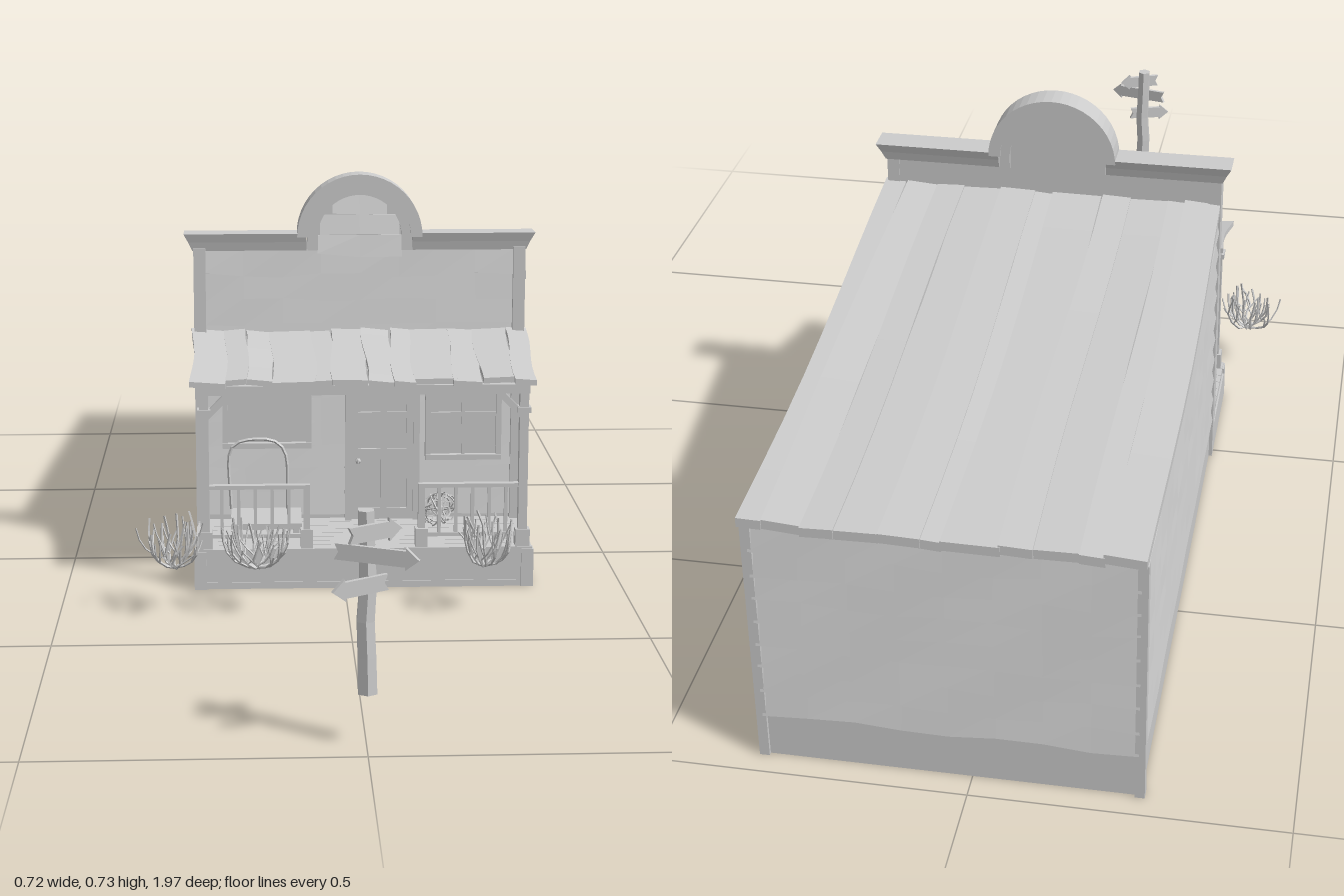
import * as THREE from 'three';

const mat = new THREE.MeshStandardMaterial({ color: 0xcccccc, flatShading: true });
const CX = 0.035, HW = 0.305; // building centre line and half width
let seed = 7;
const rnd = (a = 0, b = 1) => {
  seed = (seed * 16807) % 2147483647;
  return a + (b - a) * (seed / 2147483647);
};
const roofY = (z) => 0.54 + 0.115 * z + 0.03 * z * z;

function add(parent, name, geo, x = 0, y = 0, z = 0) {
  const m = new THREE.Mesh(geo, mat);
  m.name = name;
  m.position.set(x, y, z);
  parent.add(m);
  return m;
}

// Box given by its lower and upper limits
function box(parent, name, x0, x1, y0, y1, z0, z1) {
  return add(parent, name, new THREE.BoxGeometry(x1 - x0, y1 - y0, z1 - z0),
    (x0 + x1) / 2, (y0 + y1) / 2, (z0 + z1) / 2);
}

function sub(parent, name) {
  const g = new THREE.Group();
  g.name = name;
  parent.add(g);
  return g;
}

// Worn clapboard: thick wavy lower edge, thin upper edge, optional height limit
function clapboard(parent, len, h, x, y, z, rotY = 0, limit = null) {
  const geo = new THREE.BoxGeometry(len, h, 0.01, Math.max(2, Math.round(len * 14)), 1, 1);
  const p = geo.attributes.position, s = rnd(0, 20);
  for (let i = 0; i < p.count; i++) {
    const px = p.getX(i), low = p.getY(i) < 0;
    let py = low ? -h / 2 + 0.003 * Math.sin(px * 23 + s) + 0.002 * Math.sin(px * 61 + s * 3) : h / 2;
    if (limit) py = Math.min(py, limit(px) - y);
    p.setXYZ(i, px, py, p.getZ(i) < 0 ? -0.004 : low ? 0.012 : 0.002);
  }
  geo.computeVertexNormals();
  add(parent, 'clapboard', geo, x, y, z).rotation.y = rotY;
}

// Boards laid side by side along z, following a height rule
function boardRoof(parent, name, z0, z1, widths, thick, height, ragged) {
  const g = sub(parent, name);
  const total = widths.reduce((a, b) => a + b, 0);
  let x = CX - HW;
  for (const part of widths) {
    const w = (part / total) * 2 * HW;
    const geo = new THREE.BoxGeometry(w * 1.06, thick, 1, 2, 1, 8);
    const p = geo.attributes.position;
    const tilt = rnd(-0.1, 0.1), lift = rnd(0, 0.005), s = rnd(0, 6), e = rnd(0, ragged);
    for (let i = 0; i < p.count; i++) {
      const t = p.getZ(i) + 0.5, px = p.getX(i);
      const z = ragged < 0 ? z0 - e * (1 - t) + (z1 - z0) * t : z0 + (z1 + e - z0) * t;
      p.setZ(i, z);
      p.setX(i, px + 0.004 * Math.sin(t * 5 + s));
      p.setY(i, p.getY(i) - thick / 2 + height(z) + lift + tilt * px);
    }
    geo.computeVertexNormals();
    add(g, 'roofBoard', geo, x + w / 2, 0, 0);
    x += w;
  }
}

function windowUnit(parent, name, x0, x1, y0, y1, cols, rows) {
  const g = sub(parent, name), f = 0.01;
  box(g, 'pane', x0, x1, y0, y1, 0, 0.012);
  box(g, 'sill', x0 - f, x1 + f, y0 - f, y0, 0, 0.024);
  box(g, 'head', x0 - f, x1 + f, y1, y1 + f, 0, 0.02);
  for (const x of [x0 - f, x1]) box(g, 'jamb', x, x + f, y0, y1, 0, 0.02);
  for (let i = 1; i < cols; i++) {
    const x = x0 + ((x1 - x0) * i) / cols;
    box(g, 'mullion', x - 0.003, x + 0.003, y0, y1, 0, 0.017);
  }
  for (let i = 1; i < rows; i++) {
    const y = y0 + ((y1 - y0) * i) / rows;
    box(g, 'rail', x0, x1, y - 0.004, y + 0.004, 0, 0.017);
  }
}

// Half ring standing on short straight legs
function archShape(ro, ri, leg) {
  const s = new THREE.Shape();
  s.moveTo(ro, -leg).lineTo(ro, 0);
  s.absarc(0, 0, ro, 0, Math.PI, false);
  s.lineTo(-ro, -leg);
  if (ri) {
    s.lineTo(-ri, -leg);
    s.absarc(0, 0, ri, Math.PI, 0, true);
    s.lineTo(ri, -leg);
  }
  return s;
}
const extrude = (s, depth) => new THREE.ExtrudeGeometry(s, { depth, bevelEnabled: false, curveSegments: 12 });
const poly = (pts) => new THREE.Shape(pts.map((p) => new THREE.Vector2(...p)));
const tube = (pts, r, n = 5) => new THREE.TubeGeometry(
  new THREE.CatmullRomCurve3(pts.map((p) => new THREE.Vector3(...p))), n, r, 4);

function buildHouse(root) {
  const g = sub(root, 'house'), L = CX - HW, R = CX + HW;
  const side = [[-0.95, 0.06], [-0.02, 0.06]];
  for (let i = 0; i <= 6; i++) {
    const z = -0.02 - 0.155 * i;
    side.push([z, roofY(z) - 0.014]);
  }
  add(g, 'wallCore', extrude(poly(side), 0.58), CX + 0.29, 0, 0).rotation.y = -Math.PI / 2;
  // Hollow foundation
  box(g, 'foundationFront', L, R, 0, 0.085, -0.02, 0);
  box(g, 'foundationBack', L, R, 0, 0.085, -0.957, -0.945);
  for (const x of [L + 0.006, R - 0.016]) box(g, 'foundationSide', x, x + 0.01, 0, 0.085, -0.95, 0);
  // Clapboards on sides and back
  for (let i = 0; i < 10; i++) {
    const y = 0.107 + i * 0.0445;
    clapboard(g, 0.93, 0.046, CX + 0.292, y, -0.485, Math.PI / 2, (x) => roofY(-0.485 - x) - 0.012);
    clapboard(g, 0.93, 0.046, CX - 0.292, y, -0.485, -Math.PI / 2, (x) => roofY(-0.485 + x) - 0.012);
    if (i < 8) clapboard(g, 0.59, 0.046, CX, y, -0.952, Math.PI, () => 0.444);
  }
  for (const x of [L, R - 0.016]) box(g, 'backCornerPost', x, x + 0.016, 0, 0.44, -0.963, -0.945);
  boardRoof(g, 'mainRoof', -0.98, -0.012, [5, 3, 6, 4, 7, 3, 5, 6, 4, 5, 3], 0.016, roofY, -0.014);
}

function buildFacade(root) {
  const g = sub(root, 'falseFront'), L = CX - HW, R = CX + HW;
  box(g, 'frontPanel', L, R, 0.08, 0.6, -0.02, 0);
  for (let i = 0; i < 11; i++) clapboard(g, 0.57, 0.047, CX, 0.108 + i * 0.0455, 0);
  for (const x of [L, R - 0.022]) box(g, 'cornerTrim', x, x + 0.022, 0.07, 0.59, -0.022, 0.016);
  // Flared cornice, left and right of the arch
  for (const s of [-1, 1]) {
    const geo = new THREE.BoxGeometry(0.225, 0.032, 0.05, 1, 2, 1);
    const p = geo.attributes.position;
    for (let i = 0; i < p.count; i++) {
      const up = p.getY(i) > 0.01 ? 1 : p.getY(i) < -0.01 ? 0 : 0.45;
      if (p.getX(i) * s > 0) p.setX(i, s * (0.097 + 0.0155 * up));
      p.setZ(i, Math.sign(p.getZ(i)) * (0.016 + 0.009 * up));
    }
    geo.computeVertexNormals();
    add(g, 'cornice', geo, CX + s * 0.21, 0.601, -0.008);
  }
  // Arched crest
  add(g, 'archPanel', extrude(archShape(0.09, 0, 0.025), 0.02), CX, 0.61, -0.02);
  add(g, 'archRim', extrude(archShape(0.115, 0.094, 0), 0.05), CX, 0.61, -0.033);
  add(g, 'archInnerRim', extrude(archShape(0.096, 0.077, 0.025), 0.038), CX, 0.61, -0.028);
  for (const [y, w] of [[0.594, 0.155], [0.632, 0.146], [0.668, 0.1]]) clapboard(g, w, 0.036, CX, y, 0);
  windowUnit(g, 'leftWindow', -0.21, -0.065, 0.225, 0.355, 1, 1);
  windowUnit(g, 'rightWindow', 0.168, 0.29, 0.2, 0.352, 2, 2);
  // Door with glazed upper half
  const d = sub(g, 'door');
  box(d, 'leaf', 0.02, 0.135, 0.075, 0.35, 0, 0.015);
  for (const x of [0.008, 0.135]) box(d, 'jamb', x, x + 0.012, 0.075, 0.36, 0, 0.024);
  box(d, 'lintel', 0.008, 0.147, 0.35, 0.362, 0, 0.024);
  for (const x of [0.02, 0.074, 0.123]) box(d, 'stile', x, x + 0.012, 0.085, 0.35, 0, 0.02);
  for (const y of [0.085, 0.2, 0.27, 0.338]) box(d, 'crossRail', 0.02, 0.135, y, y + 0.012, 0, 0.02);
  add(d, 'knob', new THREE.IcosahedronGeometry(0.006, 0), 0.032, 0.19, 0.025);
}

function buildPorch(root) {
  const g = sub(root, 'porch'), L = CX - HW, R = CX + HW;
  for (let i = 0; i < 8; i++) {
    const z = 0.001 + i * 0.0255;
    box(g, 'floorBoard', L + 0.003, R - 0.003, 0.06 + rnd(0, 0.001), 0.074, z, z + 0.024);
  }
  box(g, 'frontSkirt', L, R, 0.012, 0.06, 0.185, 0.2);
  box(g, 'bottomStrip', L, R, 0, 0.012, 0.18, 0.202);
  for (const x of [L, R - 0.012]) box(g, 'sideSkirt', x, x + 0.012, 0, 0.06, 0, 0.19);
  for (const x of [L, R - 0.022]) box(g, 'footBlock', x, x + 0.022, 0, 0.07, 0.183, 0.206);
  const slope = (z) => 0.434 - 0.26 * z;
  boardRoof(g, 'porchRoof', 0.002, 0.2, [5, 3, 4, 6, 3, 5, 4, 3, 6, 4, 5, 3], 0.01, slope, 0.018);
  box(g, 'eaveBeam', L + 0.01, R - 0.01, 0.355, 0.372, 0.183, 0.199);
  for (const s of [-1, 1]) {
    const x = CX + s * 0.285;
    box(g, 'post', x - 0.008, x + 0.008, 0.07, 0.37, 0.182, 0.198);
    box(g, 'postBase', x - 0.013, x + 0.013, 0.07, 0.105, 0.178, 0.202);
    box(g, 'postCap', x - 0.012, x + 0.012, 0.32, 0.33, 0.178, 0.202);
    add(g, 'brace', new THREE.BoxGeometry(0.075, 0.012, 0.01), x - s * 0.026, 0.338, 0.19).rotation.z = -s * 0.8;
    const rafter = add(g, 'rafter', new THREE.BoxGeometry(0.012, 0.012, 0.19), x, 0.388, 0.1);
    rafter.rotation.x = 0.255;
    // Front railing ending in a newel
    const a = Math.min(x, x - s * 0.18), b = a + 0.18, n = x - s * 0.182;
    box(g, 'handRail', a, b, 0.183, 0.19, 0.183, 0.197);
    box(g, 'lowerRail', a, b, 0.092, 0.099, 0.186, 0.194);
    box(g, 'newel', n - 0.006, n + 0.006, 0.07, 0.19, 0.184, 0.196);
    box(g, 'newelBase', n - 0.011, n + 0.011, 0.07, 0.108, 0.179, 0.201);
    for (let i = 1; i < 6; i++) {
      const bx = x - s * i * 0.03;
      box(g, 'baluster', bx - 0.003, bx + 0.003, 0.095, 0.185, 0.187, 0.193);
    }
  }
  // Low bench with a hooped back
  const b = sub(g, 'bench');
  box(b, 'seat', -0.205, -0.075, 0.09, 0.1, 0.02, 0.13);
  for (const x of [-0.2, -0.09]) box(b, 'leg', x, x + 0.01, 0.074, 0.09, 0.025, 0.125);
  add(b, 'hoopBack', tube([[-0.205, 0.1, 0.024], [-0.205, 0.215, 0.024], [-0.185, 0.23, 0.024],
    [-0.125, 0.23, 0.024], [-0.105, 0.21, 0.024], [-0.1, 0.1, 0.024]], 0.003, 20));
}

// Dry shrub: curved stems spreading from the base, each with twigs
function shrub(root, x, z) {
  const g = sub(root, 'shrub');
  g.position.set(x, 0.082, z);
  for (let i = 0; i < 13; i++) {
    const a = i * 2.4 + rnd(-0.3, 0.3), r = rnd(0.025, 0.06), h = rnd(0.055, 0.09);
    const at = (k, y, da = 0) => [Math.cos(a + da) * r * k, y, Math.sin(a + da) * r * k];
    add(g, 'stem', tube([[0, 0, 0], at(0.55, 0.008), at(0.95, h * 0.45, 0.2), at(1.05, h, rnd(-0.2, 0.4))], 0.0022));
    for (const d of [-0.45, 0.5]) {
      add(g, 'twig', tube([at(0.7, h * 0.22, 0.1), at(0.95, h * 0.5, d * 0.7), at(1.1, h * rnd(0.65, 0.95), d)], 0.0015, 3));
    }
  }
}

function tumbleweed(root) {
  const g = sub(root, 'tumbleweed');
  g.position.set(0.18, 0.11, 0.075);
  for (let i = 0; i < 16; i++) {
    const r = rnd(0.022, 0.035);
    const t = add(g, 'curl', new THREE.TorusGeometry(r, 0.0016, 4, 11, rnd(3.5, 6)));
    t.rotation.set(rnd(0, 6), rnd(0, 6), rnd(0, 6));
  }
}

function signPost(root) {
  const g = sub(root, 'signPost');
  g.position.set(0, 0, 0.952);
  const geo = new THREE.CylinderGeometry(0.013, 0.016, 0.275, 6, 5);
  const p = geo.attributes.position;
  for (let i = 0; i < p.count; i++) p.setX(i, p.getX(i) + 0.002 * Math.sin(p.getY(i) * 40));
  geo.computeVertexNormals();
  add(g, 'post', geo, 0, 0.217, 0);
  // Arrow boards turned in different directions
  for (const [y, len, dir, turn, roll] of [[0.325, 0.085, 1, 0.45, 0.03], [0.293, 0.125, 1, -0.3, -0.04], [0.247, 0.088, -1, 0.4, -0.06]]) {
    const h = 0.012, e = len * 0.62, s = len * 0.38;
    const arrow = add(g, 'arrowBoard', extrude(poly([[-s, -h], [e - 0.02, -h], [e - 0.02, -h - 0.005], [e, 0],
      [e - 0.02, h + 0.005], [e - 0.02, h], [-s, h], [-s + 0.006, 0]]), 0.007), 0, y, 0.012);
    arrow.rotation.set(0, turn + (dir < 0 ? Math.PI : 0), roll);
    if (dir < 0) arrow.position.z = 0.02;
  }
}

export function createModel() {
  const root = new THREE.Group();
  root.name = 'frontierBuilding';
  buildHouse(root);
  buildFacade(root);
  buildPorch(root);
  for (const [x, z] of [[-0.3, 0.335], [-0.155, 0.34], [0.235, 0.345]]) shrub(root, x, z);
  tumbleweed(root);
  signPost(root);
  return root;
}
